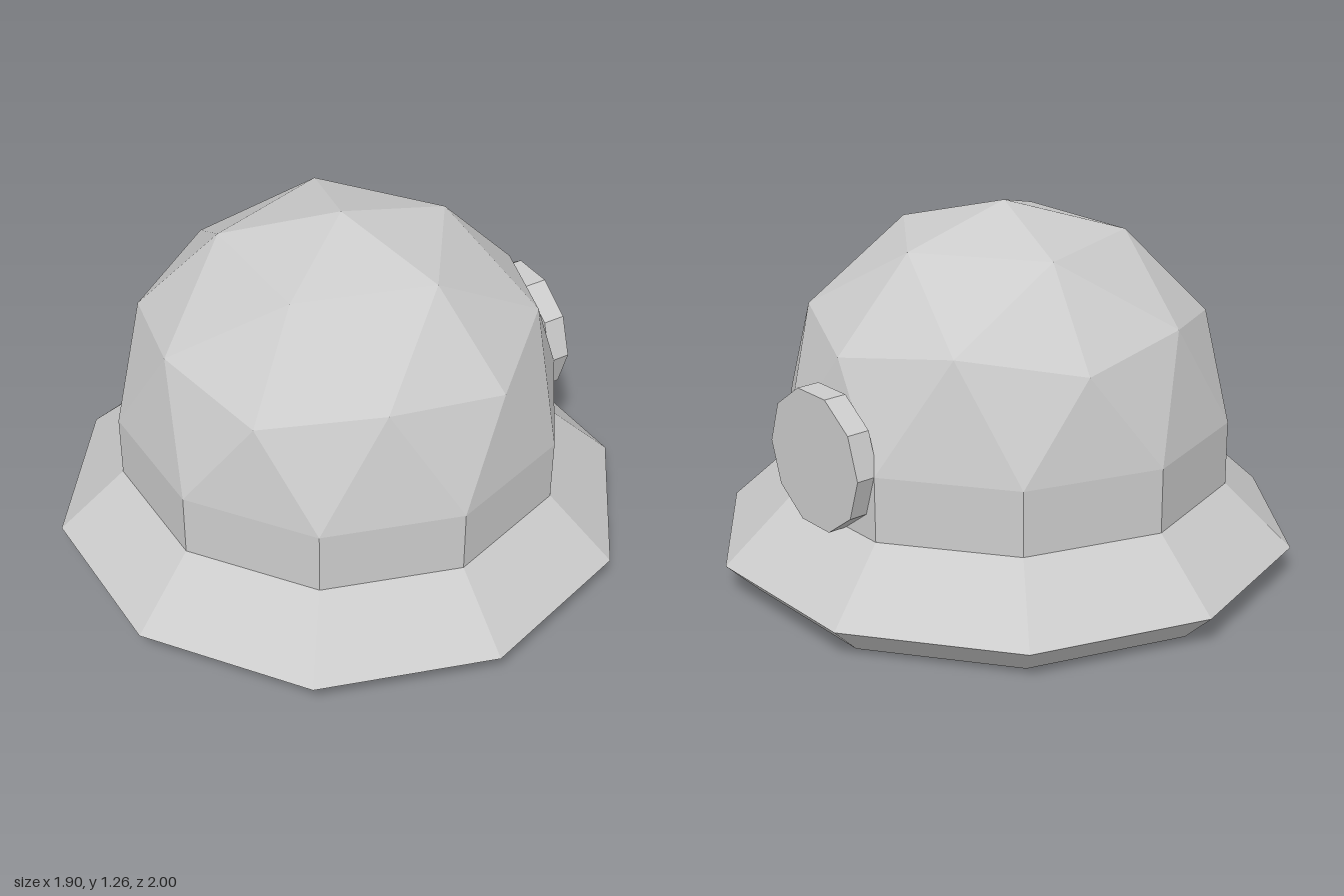
import * as THREE from 'three';

const material = new THREE.MeshStandardMaterial({ color: 0xcccccc, flatShading: true });

// Point at a distance from the axis, a height and an azimuth in degrees
function polar(radius, y, degrees) {
  const a = THREE.MathUtils.degToRad(degrees);
  return [radius * Math.cos(a), y, -radius * Math.sin(a)];
}

// Upper half of a once-subdivided icosahedron, continued downward by ten-sided rings [radius, y]
function domeShell(radius, height, rings, inward) {
  const positions = [];
  const tri = (a, b, c) => positions.push(...a, ...(inward ? c : b), ...(inward ? b : c));
  const base = rings[0][1];
  const onDome = (cos, sin, degrees) => polar(radius * cos, base + height * sin, degrees);
  const top = [0, base + height, 0];

  for (let k = 0; k < 5; k++) {
    const d = k * 72;
    const a0 = onDome(0.526, 0.851, d), a1 = onDome(0.526, 0.851, d + 72);
    const b0 = onDome(0.894, 0.447, d), b1 = onDome(0.894, 0.447, d + 72);
    const m = onDome(0.851, 0.526, d + 36);
    const e0 = onDome(1, 0, d - 18), e1 = onDome(1, 0, d + 18), e2 = onDome(1, 0, d + 54);
    tri(top, a0, a1);
    tri(a0, b0, m);
    tri(a0, m, a1);
    tri(a1, m, b1);
    tri(b0, e0, e1);
    tri(b0, e1, m);
    tri(m, e1, e2);
    tri(m, e2, b1);
  }

  // Wall and brim bands below the dome
  for (let i = 0; i < rings.length - 1; i++) {
    for (let k = 0; k < 10; k++) {
      const d = k * 36 - 18;
      const p = polar(...rings[i], d), q = polar(...rings[i], d + 36);
      const r = polar(...rings[i + 1], d), s = polar(...rings[i + 1], d + 36);
      tri(p, r, s);
      tri(p, s, q);
    }
  }

  const geometry = new THREE.BufferGeometry();
  geometry.setAttribute('position', new THREE.Float32BufferAttribute(positions, 3));
  geometry.computeVertexNormals();
  return geometry;
}

export function createModel() {
  const group = new THREE.Group();
  group.name = 'helmet';
  const add = (name, geometry) => {
    const mesh = new THREE.Mesh(geometry, material);
    mesh.name = name;
    group.add(mesh);
    return mesh;
  };

  // Outside: dome, upright wall, flared brim and bevelled lip
  add('outerShell', domeShell(0.77, 0.72, [[0.77, 0.54], [0.77, 0.32], [1, 0.105], [0.89, 0]], false));

  // Hollow inside, meeting the lip at the bottom
  add('innerLining', domeShell(0.64, 0.63, [[0.64, 0.55], [0.64, 0.29], [0.89, 0]], true));

  // Round plate on the left side
  const plate = add('sideDisc', new THREE.CylinderGeometry(0.237, 0.237, 0.08, 10).rotateZ(Math.PI / 2));
  plate.position.set(0.755, 0.54, 0);

  return group;
}
